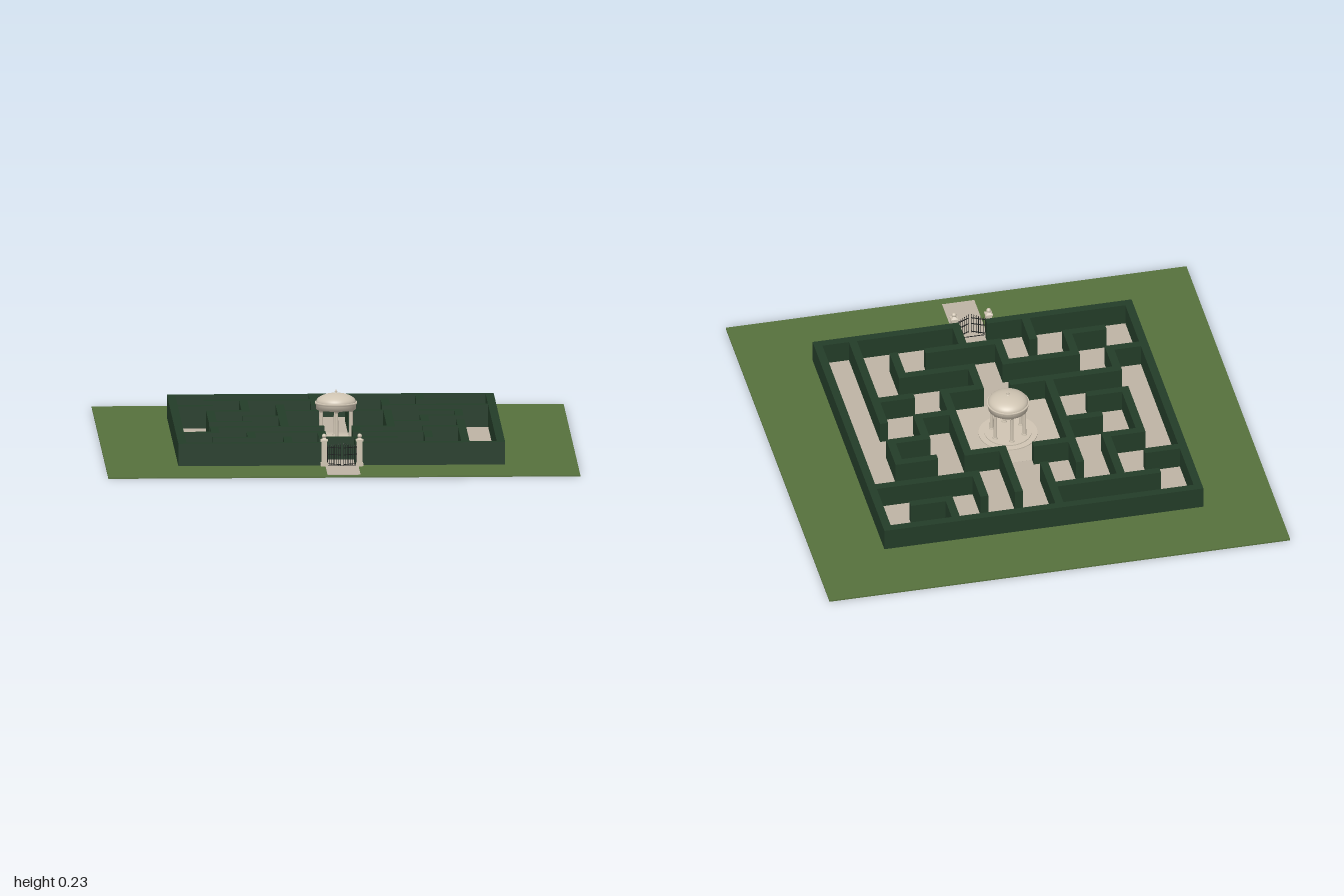
import * as THREE from 'three';

const mat = (color, side = THREE.FrontSide) => new THREE.MeshStandardMaterial({ color, side });
const GRASS = mat(0x56703c), HEDGE = mat(0x233c28), GRAVEL = mat(0xbdb2a4),
  PAVING = mat(0xc6bbab), STONE = mat(0xcfc4b2), STONE_2 = mat(0xcfc4b2, THREE.DoubleSide), IRON = mat(0x1c1f1e);

const CELL = 0.15, HALF = 0.675, THICK = 0.035, GROUND = 0.006, WALL_H = 0.096;

function add(parent, name, geometry, material, x = 0, y = 0, z = 0) {
  const mesh = new THREE.Mesh(geometry, material);
  mesh.name = name;
  mesh.position.set(x, y, z);
  parent.add(mesh);
  return mesh;
}
// Box and cylinder placed by the height of their underside
const box = (p, name, m, w, h, d, x, y, z) =>
  add(p, name, new THREE.BoxGeometry(w, h, d), m, x, y + h / 2, z);
const drum = (p, name, m, r0, r1, h, x, y, z, n = 48) =>
  add(p, name, new THREE.CylinderGeometry(r1, r0, h, n), m, x, y + h / 2, z);
const lathe = (p, name, m, pts, n = 48) =>
  add(p, name, new THREE.LatheGeometry(pts.map(([r, y]) => new THREE.Vector2(r, y)), n), m);

function group(parent, name) {
  const g = new THREE.Group();
  g.name = name;
  parent.add(g);
  return g;
}

// Hedge runs on a 9 x 9 cell grid: [line, from, to]
const ROWS = [
  [0, 0, 9], [1, 1, 4], [1, 7, 8], [2, 0, 1], [2, 6, 9], [3, 1, 2], [3, 3, 4], [3, 5, 6], [3, 7, 8],
  [4, 2, 3], [4, 7, 8], [5, 1, 2], [5, 6, 7], [6, 1, 4], [6, 5, 6], [6, 7, 8],
  [7, 0, 1], [7, 2, 4], [7, 5, 7], [8, 1, 2], [8, 4, 6], [9, 0, 4], [9, 5, 9],
];
const COLUMNS = [
  [0, 0, 9], [1, 3, 5], [1, 6, 7], [2, 1, 3], [2, 7, 8], [3, 2, 6], [3, 8, 9], [4, 0, 2], [4, 7, 8],
  [5, 1, 3], [5, 6, 7], [5, 8, 9], [6, 1, 2], [6, 3, 6], [7, 0, 1], [7, 4, 5], [7, 7, 8],
  [8, 3, 4], [8, 5, 9], [9, 0, 9],
];

function buildHedges(parent) {
  const hedges = group(parent, 'hedges');
  const run = ([line, a, b], alongX) => {
    const len = (b - a) * CELL + THICK;
    const mid = (a + b) / 2 * CELL - HALF, off = line * CELL - HALF;
    if (alongX) box(hedges, 'hedgeRow', HEDGE, len, WALL_H, THICK, mid, GROUND, off);
    else box(hedges, 'hedgeColumn', HEDGE, THICK, WALL_H, len, off, GROUND, mid);
  };
  ROWS.forEach((r) => run(r, true));
  COLUMNS.forEach((c) => run(c, false));
}

function buildRotunda(parent) {
  const g = group(parent, 'rotunda');
  // Round steps
  [[0.145, 0.008], [0.125, 0.013], [0.1, 0.018]].forEach(([r, top]) =>
    drum(g, 'step', STONE, r, r, top - 0.004, 0, 0.004, 0));
  // Six columns with base and capital
  for (let i = 0; i < 6; i++) {
    const a = i * Math.PI / 3, x = Math.sin(a) * 0.073, z = Math.cos(a) * 0.073;
    drum(g, 'columnBase', STONE, 0.012, 0.011, 0.006, x, 0.018, z, 16);
    drum(g, 'columnShaft', STONE, 0.008, 0.0065, 0.112, x, 0.024, z, 16);
    drum(g, 'columnCapital', STONE, 0.0065, 0.0115, 0.008, x, 0.134, z, 16);
  }
  // Ring beam with cornice
  lathe(g, 'entablature', STONE_2, [
    [0.06, 0.142], [0.084, 0.142], [0.084, 0.161], [0.09, 0.166], [0.09, 0.173], [0.06, 0.173], [0.06, 0.142]]);
  // Shallow dome
  const dome = add(g, 'dome', new THREE.SphereGeometry(0.085, 48, 16, 0, Math.PI * 2, 0, Math.PI / 2), STONE_2, 0, 0.172, 0);
  dome.scale.y = 0.45;
  // Finial
  lathe(g, 'finial', STONE_2, [
    [0.008, 0.207], [0.007, 0.212], [0.003, 0.213], [0.006, 0.217], [0.003, 0.221], [0, 0.227]], 16);
}

function buildGate(parent) {
  const gate = group(parent, 'gate');
  for (const s of [-1, 1]) {
    // Stone pillar with pyramid cap and ball
    const p = group(gate, s > 0 ? 'leftPillar' : 'rightPillar');
    p.position.set(s * 0.075, 0, 0.707);
    box(p, 'pillarPlinth', STONE, 0.03, 0.014, 0.03, 0, GROUND, 0);
    box(p, 'pillarShaft', STONE, 0.024, 0.092, 0.024, 0, 0.02, 0);
    box(p, 'pillarCap', STONE, 0.032, 0.006, 0.032, 0, 0.112, 0);
    const cap = add(p, 'pillarPyramid', new THREE.ConeGeometry(0.02, 0.011, 4), STONE, 0, 0.1235, 0);
    cap.material = STONE.clone();
    cap.material.flatShading = true;
    cap.rotation.y = Math.PI / 4;
    add(p, 'pillarBall', new THREE.SphereGeometry(0.01, 20, 14), STONE, 0, 0.134, 0);

    // Iron leaf standing slightly ajar
    const leaf = group(gate, s > 0 ? 'leftLeaf' : 'rightLeaf');
    leaf.position.set(s * 0.063, 0, 0.707);
    leaf.rotation.y = s * 0.45;
    for (const y of [0.014, 0.055, 0.085])
      box(leaf, 'gateRail', IRON, 0.064, 0.003, 0.003, -s * 0.032, y, 0);
    for (let i = 0; i < 7; i++) {
      const x = -s * (0.002 + i * 0.01), h = 0.08 + i * 0.002;
      drum(leaf, 'gateBar', IRON, 0.0013, 0.0013, h, x, 0.01, 0, 8);
      drum(leaf, 'gateSpike', IRON, 0.0022, 0, 0.006, x, 0.01 + h, 0, 8);
    }
  }
  box(gate, 'threshold', IRON, 0.13, 0.002, 0.004, 0, 0.007, 0.707);
}

export function createModel() {
  const model = new THREE.Group();
  model.name = 'hedgeMaze';
  // Lawn, gravel floor, entrance path and central plaza
  box(model, 'lawn', GRASS, 2, GROUND, 2, 0, 0, 0);
  box(model, 'gravelFloor', GRAVEL, 1.36, 0.003, 1.36, 0, 0.0045, 0);
  box(model, 'entrancePath', GRAVEL, 0.14, 0.003, 0.285, 0, 0.0045, 0.8175);
  box(model, 'plaza', PAVING, 0.42, 0.003, 0.42, 0, 0.0052, 0);
  buildHedges(model);
  buildRotunda(model);
  buildGate(model);
  return model;
}
